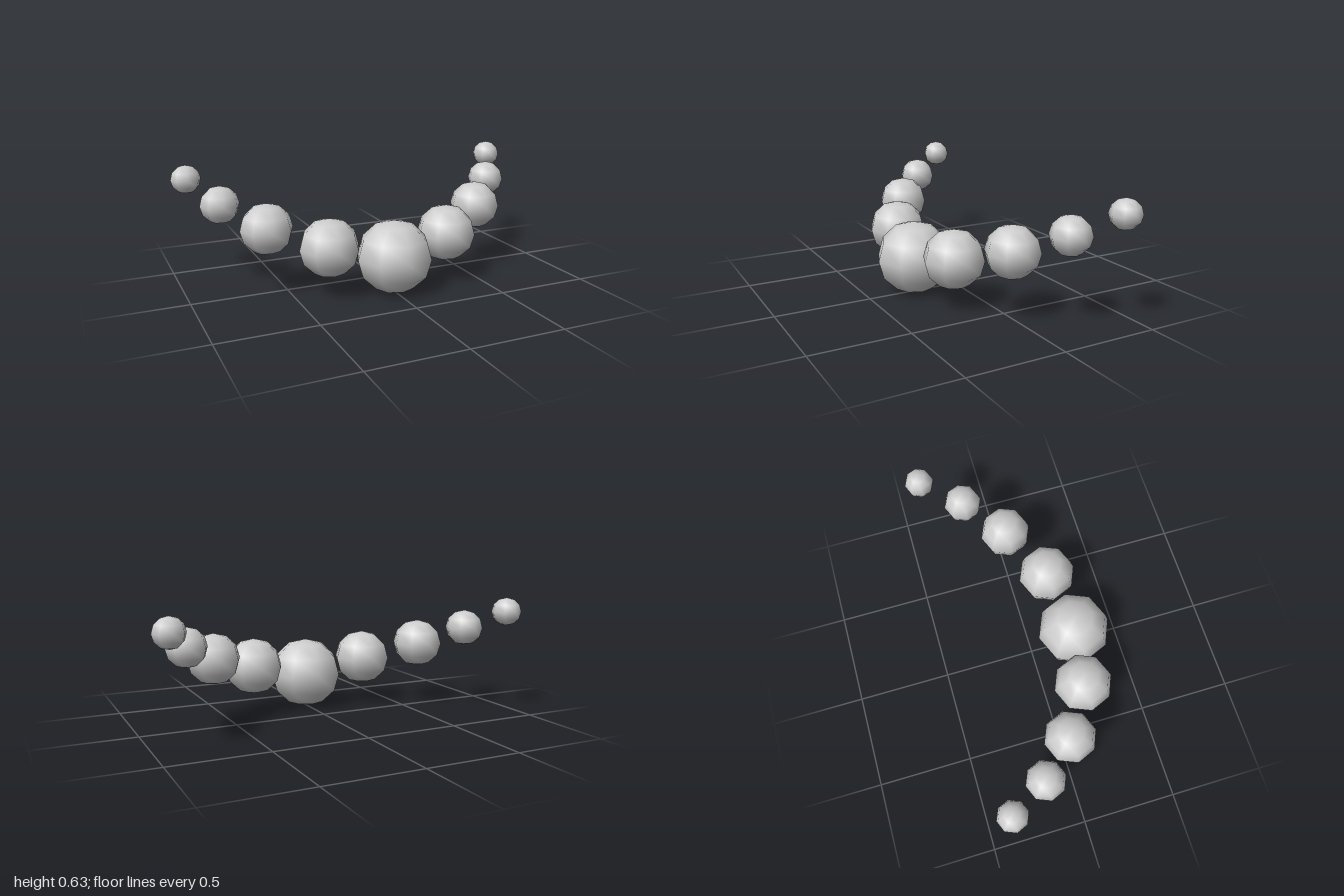
import * as THREE from 'three';

// Bead centres and radii from the middle outwards: [x, y, z, radius]
const BEADS = [
  [0, 0.19, 0.244, 0.201],
  [0.332, 0.263, 0.187, 0.158],
  [0.605, 0.35, 0.025, 0.138],
  [0.793, 0.45, -0.163, 0.103],
  [0.921, 0.554, -0.364, 0.079],
];
const FLATTEN = 0.95; // beads are slightly squashed vertically

export function createModel() {
  const group = new THREE.Group();
  group.name = 'beadNecklace';

  const beadGrey = new THREE.MeshStandardMaterial({ color: 0xcccccc });
  beadGrey.name = 'bead grey';
  const sphere = new THREE.SphereGeometry(1, 8, 6);

  const addBead = (name, x, y, z, r) => {
    const bead = new THREE.Mesh(sphere, beadGrey);
    bead.name = name;
    bead.position.set(x, y, z);
    bead.scale.set(r, r * FLATTEN, r);
    group.add(bead);
  };

  // Centre bead, then mirrored pairs rising towards the back
  BEADS.forEach(([x, y, z, r], i) => {
    if (i === 0) {
      addBead('centreBead', x, y, z, r);
    } else {
      addBead(`leftBead${i}`, x, y, z, r);
      addBead(`rightBead${i}`, -x, y, z, r);
    }
  });

  return group;
}
